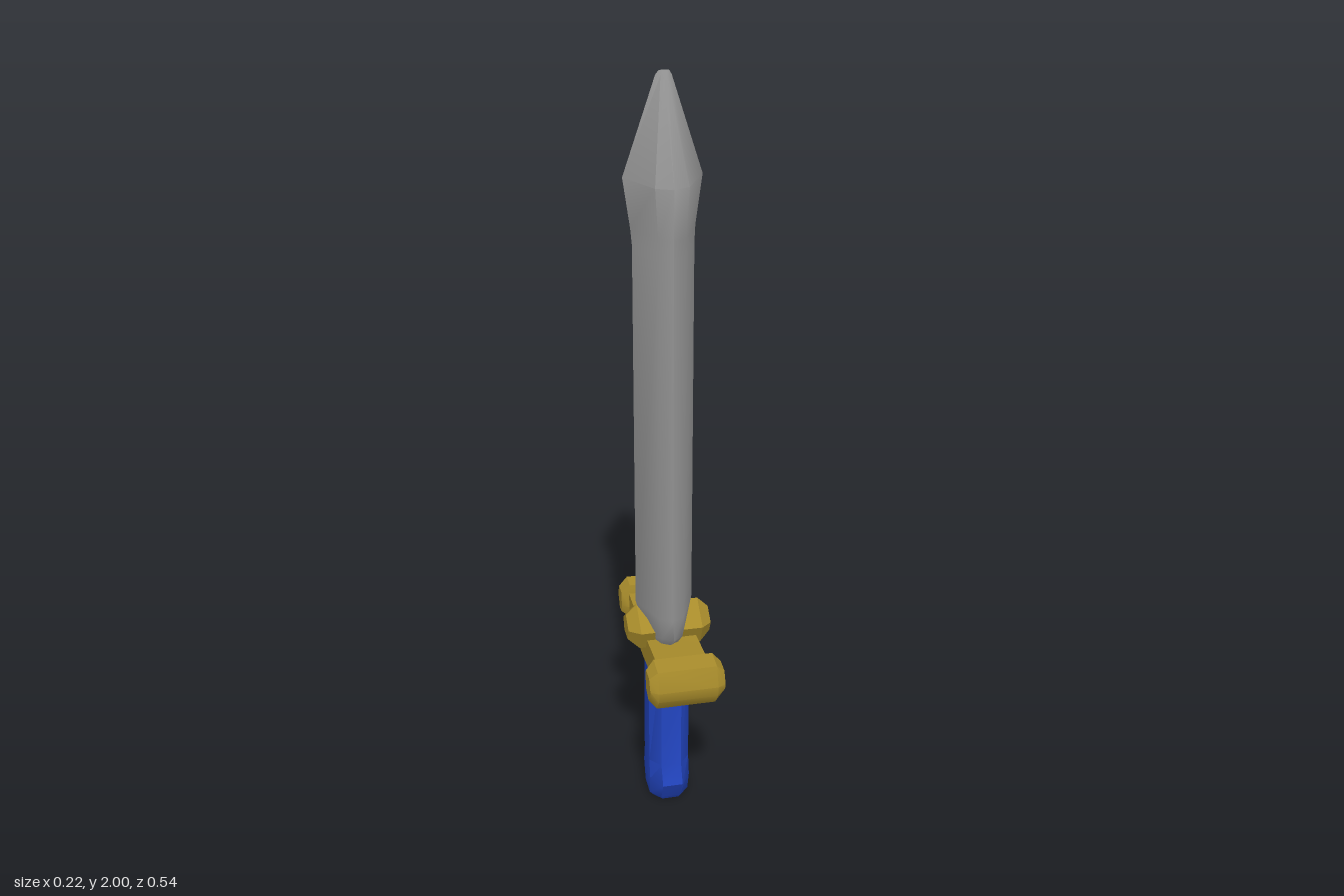
import * as THREE from 'three';
import { toCreasedNormals } from 'three/addons/utils/BufferGeometryUtils.js';

// Skins a stack of equal-length rings, capping both ends.
// Rings run counter-clockwise when seen from the end of the stack.
function loft(rings, crease) {
  const pos = [];
  const tri = (a, b, c) => pos.push(...a, ...b, ...c);
  const n = rings[0].length;
  const centre = (r) => [0, 1, 2].map((k) => r.reduce((s, p) => s + p[k], 0) / n);
  const first = rings[0], last = rings[rings.length - 1];
  const c0 = centre(first), c1 = centre(last);
  for (let i = 0; i < n; i++) {
    const j = (i + 1) % n;
    tri(c0, first[j], first[i]);
    tri(c1, last[i], last[j]);
    for (let k = 0; k + 1 < rings.length; k++) {
      const a = rings[k], b = rings[k + 1];
      tri(a[i], a[j], b[j]);
      tri(a[i], b[j], b[i]);
    }
  }
  const g = new THREE.BufferGeometry();
  g.setAttribute('position', new THREE.Float32BufferAttribute(pos, 3));
  return toCreasedNormals(g, crease);
}

// Vertical loft: outline is unit [x, z]; levels are [y, xMin, xMax, zMin, zMax].
function upright(outline, levels, crease) {
  return loft(levels.map(([y, x0, x1, z0, z1]) => outline.map(([x, z]) => [
    (x0 + x1) / 2 + x * (x1 - x0) / 2, y, (z0 + z1) / 2 + z * (z1 - z0) / 2,
  ])), crease);
}

// Sideways loft: profile is [z, y]; stations are [x, zScale, yScale] about the profile centre.
function sideways(profile, stations, crease) {
  const cz = profile.reduce((s, p) => s + p[0], 0) / profile.length;
  const cy = profile.reduce((s, p) => s + p[1], 0) / profile.length;
  return loft(stations.map(([x, sz, sy]) => profile.map(([z, y]) => [
    x, cy + (y - cy) * sy, cz + (z - cz) * sz,
  ])), crease);
}

export function createModel() {
  const steel = new THREE.MeshStandardMaterial({ color: 0x959595 });
  steel.name = 'steel grey';
  const gold = new THREE.MeshStandardMaterial({ color: 0xa78b2b });
  gold.name = 'old gold';
  const blue = new THREE.MeshStandardMaterial({ color: 0x2143bb });
  blue.name = 'grip blue';

  const sword = new THREE.Group();
  sword.name = 'sword';
  const add = (name, geometry, material) => {
    const mesh = new THREE.Mesh(geometry, material);
    mesh.name = name;
    sword.add(mesh);
  };

  // Blade: eight-sided lens section, flared at the shoulder and below the point
  const lens = [[1, 0], [0.42, -0.85], [0, -1], [-0.42, -0.85],
    [-1, 0], [-0.42, 0.85], [0, 1], [0.42, 0.85]];
  add('blade', upright(lens, [
    [0.52, -0.06, 0.04, -0.08, 0.08],
    [0.57, -0.07, 0.055, -0.13, 0.13],
    [0.63, -0.085, 0.065, -0.11, 0.13],
    [1.6, -0.085, 0.065, -0.11, 0.13],
    [1.64, -0.088, 0.068, -0.12, 0.13],
    [1.76, -0.105, 0.085, -0.128, 0.132],
    [1.99, -0.028, 0.01, 0, 0.016],
    [2.0, -0.02, 0.004, 0.005, 0.011],
  ], 0.75), steel);

  // Grip and pommel: chamfered section swelling front and back near the base
  const octagon = [[1, 0.5], [1, -0.5], [0.5, -1], [-0.5, -1],
    [-1, -0.5], [-1, 0.5], [-0.5, 1], [0.5, 1]];
  add('grip', upright(octagon, [
    [0, -0.045, 0.045, -0.055, 0.05],
    [0.012, -0.054, 0.054, -0.062, 0.058],
    [0.07, -0.055, 0.055, -0.093, 0.086],
    [0.125, -0.055, 0.055, -0.07, 0.063],
    [0.47, -0.055, 0.055, -0.066, 0.063],
  ], 0.7), blue);

  // Crossguard: slightly bowed bar
  add('crossguard', sideways([[0.22, 0.475], [0, 0.45], [-0.22, 0.45],
    [-0.22, 0.525], [0, 0.53], [0.22, 0.55]], [[-0.065, 1, 1], [0.067, 1, 1]], 0.5), gold);

  // Faceted knobs on both ends of the guard
  add('frontKnob', sideways([[0.271, 0.51], [0.265, 0.48], [0.235, 0.442], [0.193, 0.47],
    [0.18, 0.545], [0.195, 0.565], [0.25, 0.56]],
  [[-0.096, 0.72, 0.6], [-0.075, 1, 1], [0.078, 1, 1], [0.099, 0.72, 0.6]], 0.6), gold);
  add('backKnob', sideways([[-0.205, 0.55], [-0.193, 0.485], [-0.207, 0.445], [-0.24, 0.44],
    [-0.272, 0.5], [-0.25, 0.552]],
  [[-0.085, 0.72, 0.6], [-0.062, 1, 1], [0.066, 1, 1], [0.094, 0.72, 0.6]], 0.6), gold);

  // Five-sided boss passing through the foot of the blade
  add('boss', sideways([[0.005, 0.617], [0.073, 0.565], [0.045, 0.505],
    [-0.04, 0.505], [-0.065, 0.565]],
  [[-0.111, 0.55, 0.55], [-0.082, 1, 1], [0.082, 1, 1], [0.111, 0.55, 0.55]], 0.5), gold);

  return sword;
}
